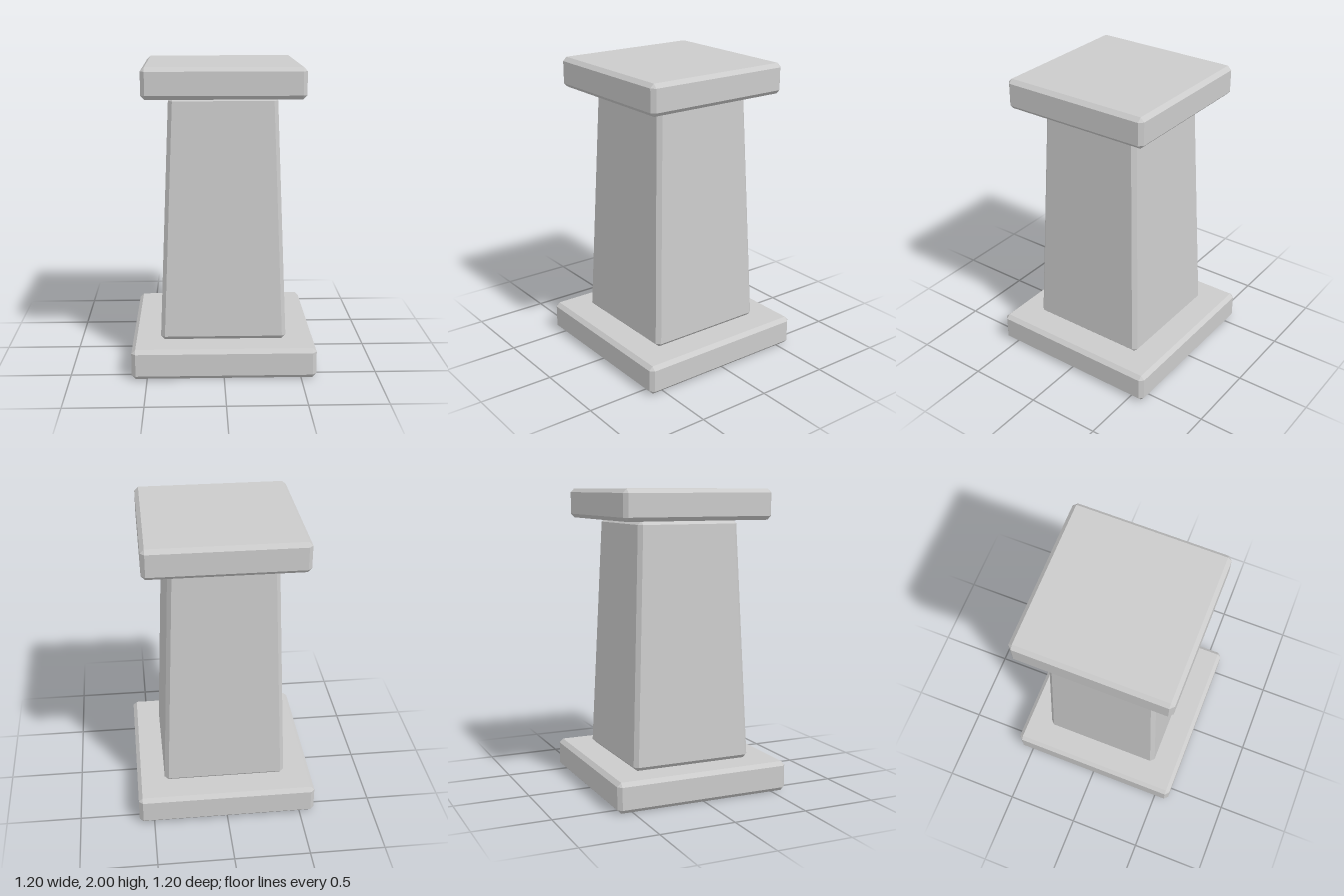
import * as THREE from 'three';
import { ConvexGeometry } from 'three/addons/geometries/ConvexGeometry.js';

const BEVEL = 0.026;

// Square block with chamfered edges; its half width may differ at bottom and top
function chamferedBlock(name, y0, y1, halfBottom, halfTop, material) {
  const points = [];
  for (const [y, half, inward] of [[y0, halfBottom, 1], [y1, halfTop, -1]]) {
    const inner = half - BEVEL;
    const yIn = y + inward * BEVEL;
    for (const sx of [-1, 1]) {
      for (const sz of [-1, 1]) {
        points.push(
          new THREE.Vector3(sx * inner, y, sz * inner),
          new THREE.Vector3(sx * half, yIn, sz * inner),
          new THREE.Vector3(sx * inner, yIn, sz * half)
        );
      }
    }
  }
  const mesh = new THREE.Mesh(new ConvexGeometry(points), material);
  mesh.name = name;
  return mesh;
}

export function createModel() {
  const stone = new THREE.MeshStandardMaterial({ color: 0xcccccc, flatShading: true });
  const pedestal = new THREE.Group();
  pedestal.name = 'pedestal';
  pedestal.add(
    chamferedBlock('base', 0, 0.2, 0.6, 0.6, stone),
    chamferedBlock('taperedShaft', 0.2, 1.8, 0.413, 0.35, stone),
    chamferedBlock('cap', 1.8, 2, 0.515, 0.515, stone)
  );
  return pedestal;
}
